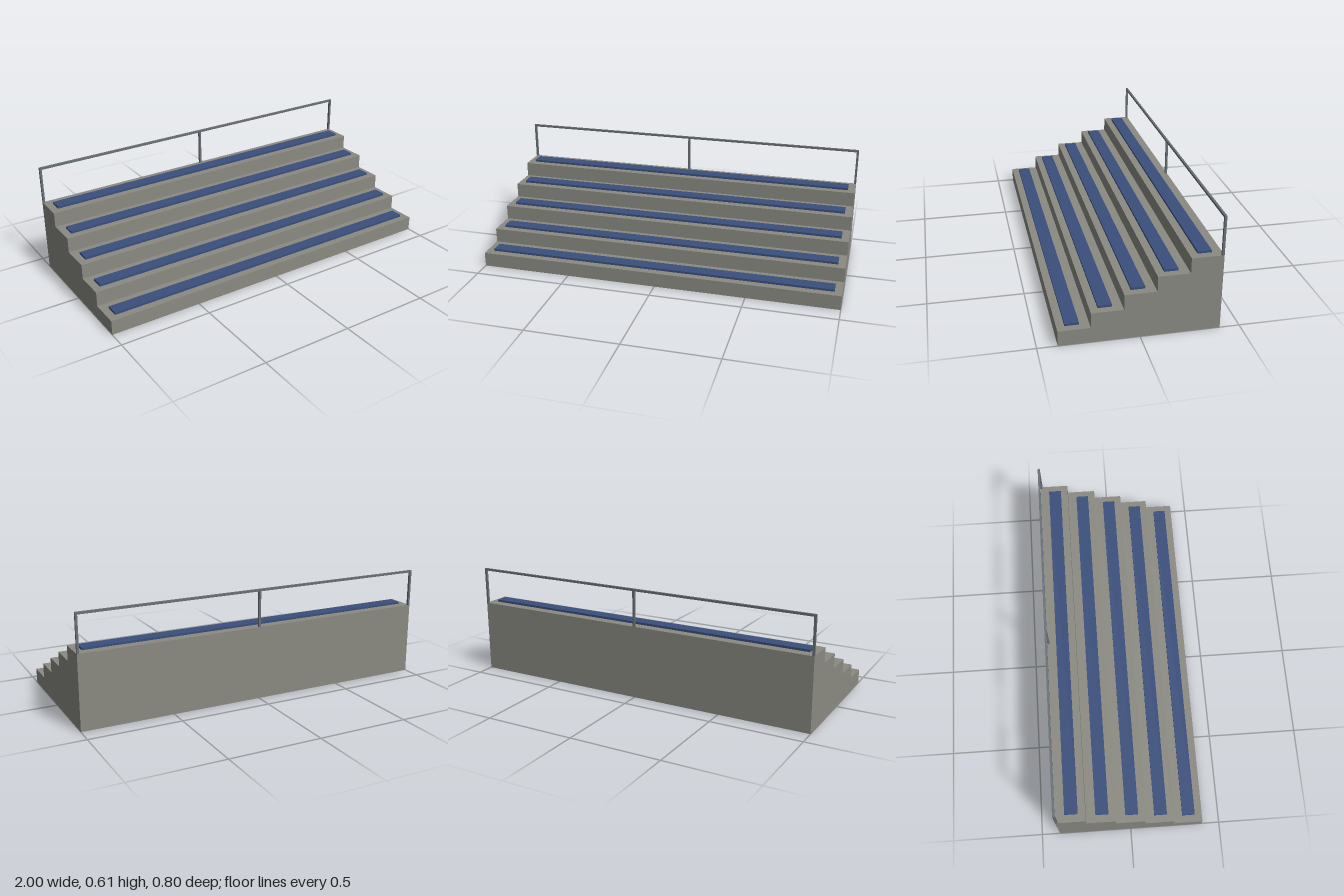
import * as THREE from 'three';

const STEPS = 5, DEPTH = 0.16, RISE = 0.08, BACK = -0.4;

export function createModel() {
  const concrete = new THREE.MeshStandardMaterial({ color: 0x8b8b83, side: THREE.DoubleSide });
  concrete.name = 'concrete';
  const seatBlue = new THREE.MeshStandardMaterial({ color: 0x3a4f7c });
  seatBlue.name = 'seat blue';
  const steel = new THREE.MeshStandardMaterial({ color: 0x6a7178 });
  steel.name = 'steel grey';

  const model = new THREE.Group();
  model.name = 'bleachers';

  const add = (parent, name, geometry, material, x, y, z) => {
    const mesh = new THREE.Mesh(geometry, material);
    mesh.name = name;
    mesh.position.set(x, y, z);
    parent.add(mesh);
    return mesh;
  };

  // Terraces: hollow steps, open underneath, each with a full-height front wall
  for (let i = 0; i < STEPS; i++) {
    const step = new THREE.Group();
    step.name = `step${i + 1}`;
    model.add(step);
    const h = RISE * (i + 1);
    const front = 0.4 - DEPTH * i;
    const mid = front - DEPTH / 2;

    add(step, 'riser', new THREE.PlaneGeometry(2, h), concrete, 0, h / 2, front);
    add(step, 'tread', new THREE.PlaneGeometry(2, DEPTH).rotateX(-Math.PI / 2), concrete, 0, h, mid);
    for (const side of [-1, 1]) {
      add(step, 'endWall', new THREE.PlaneGeometry(DEPTH, h).rotateY(side * Math.PI / 2),
        concrete, side, h / 2, mid);
    }
    // Bench strip lying on the tread
    add(step, 'seat', new THREE.BoxGeometry(1.92, 0.012, 0.07), seatBlue, 0, h + 0.006, mid + 0.005);
  }

  // Back wall closing the tallest step
  const top = RISE * STEPS;
  add(model, 'backWall', new THREE.PlaneGeometry(2, top).rotateY(Math.PI), concrete, 0, top / 2, BACK);

  // Safety railing along the back edge
  const railing = new THREE.Group();
  railing.name = 'railing';
  model.add(railing);
  const bar = 0.012, railTop = 0.606;
  const postHeight = railTop - bar - top;
  for (const x of [-1 + bar / 2, 0, 1 - bar / 2]) {
    add(railing, 'post', new THREE.BoxGeometry(bar, postHeight, bar), steel,
      x, top + postHeight / 2, BACK + bar / 2);
  }
  add(railing, 'topRail', new THREE.BoxGeometry(2, bar, bar), steel, 0, railTop - bar / 2, BACK + bar / 2);

  return model;
}
